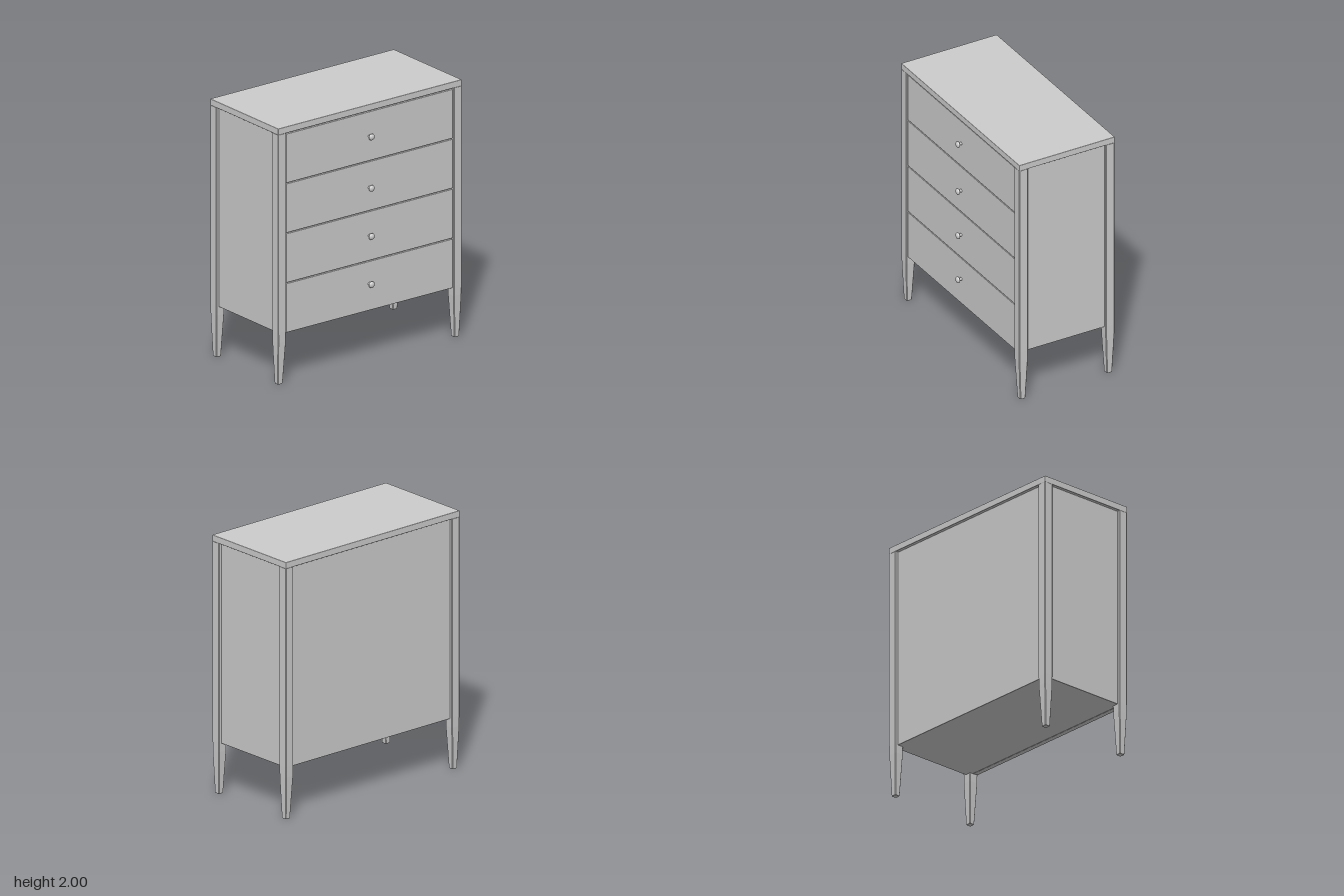
import * as THREE from 'three';
import { RoundedBoxGeometry } from 'three/addons/geometries/RoundedBoxGeometry.js';

const material = new THREE.MeshStandardMaterial({ color: 0xcccccc });

function add(group, name, geometry, x = 0, y = 0, z = 0) {
  const mesh = new THREE.Mesh(geometry, material);
  mesh.name = name;
  mesh.position.set(x, y, z);
  group.add(mesh);
  return mesh;
}

// Box given by its lower and upper corners, with slightly eased edges
function slab(group, name, [x0, y0, z0], [x1, y1, z1], ease) {
  const geometry = new RoundedBoxGeometry(x1 - x0, y1 - y0, z1 - z0, 2, ease);
  return add(group, name, geometry, (x0 + x1) / 2, (y0 + y1) / 2, (z0 + z1) / 2);
}

// Square post with chamfered corners, lofted through [height, half width, x shift]
function legGeometry(side) {
  const rings = [[0, 0.02, 0.004], [0.006, 0.0225, 0.004], [0.2, 0.031, 0.002],
    [0.33, 0.0365, 0], [0.41, 0.0375, 0], [1.95, 0.0375, 0]]
    .map(([y, h, shift]) => {
      const c = h - 0.005;
      return [[h, c], [c, h], [-c, h], [-h, c], [-h, -c], [-c, -h], [c, -h], [h, -c]]
        .map(([x, z]) => [x + shift * side, y, z]);
    });
  const points = [];
  const n = 8;
  for (let r = 0; r < rings.length - 1; r++) {
    for (let i = 0; i < n; i++) {
      const j = (i + 1) % n;
      const a = rings[r][i], b = rings[r][j], c = rings[r + 1][j], d = rings[r + 1][i];
      points.push(...a, ...c, ...b, ...a, ...d, ...c);
    }
  }
  const foot = rings[0], head = rings[rings.length - 1];
  for (let i = 1; i < n - 1; i++) {
    points.push(...foot[0], ...foot[i], ...foot[i + 1]);
    points.push(...head[0], ...head[i + 1], ...head[i]);
  }
  const geometry = new THREE.BufferGeometry();
  geometry.setAttribute('position', new THREE.Float32BufferAttribute(points, 3));
  geometry.computeVertexNormals();
  return geometry;
}

export function createModel() {
  const model = new THREE.Group();
  model.name = 'chestOfDrawers';

  // Top board and recessed carcass
  slab(model, 'topBoard', [-0.85, 1.95, -0.42], [0.85, 2, 0.39], 0.004);
  slab(model, 'carcass', [-0.827, 0.395, -0.397], [0.827, 1.95, 0.362], 0.004);

  // Four corner posts running down into tapered legs
  for (const side of [-1, 1]) {
    for (const [name, z] of [['front', 0.3525], ['back', -0.3825]]) {
      add(model, `${name}${side > 0 ? 'Left' : 'Right'}Leg`, legGeometry(side), side * 0.8125, 0, z);
    }
  }

  // Drawers, each with a turned knob
  const knobProfile = [[0.012, -0.005], [0.012, 0.004], [0.009, 0.012], [0.011, 0.018],
    [0.022, 0.021], [0.025, 0.026], [0.024, 0.032], [0.019, 0.038], [0.011, 0.042], [0, 0.044]]
    .map(([r, h]) => new THREE.Vector2(r, h));
  const knobGeometry = new THREE.LatheGeometry(knobProfile, 24).rotateX(Math.PI / 2);
  const knobHeights = [0.6, 0.975, 1.35, 1.75];
  knobHeights.forEach((knobY, i) => {
    const drawer = new THREE.Group();
    drawer.name = `drawer${i + 1}`;
    const y = 0.392 + i * 0.3885;
    slab(drawer, 'drawerFront', [-0.77, y, 0.34], [0.77, y + 0.382, 0.382], 0.004);
    add(drawer, 'knob', knobGeometry, 0, knobY, 0.382);
    model.add(drawer);
  });

  return model;
}
